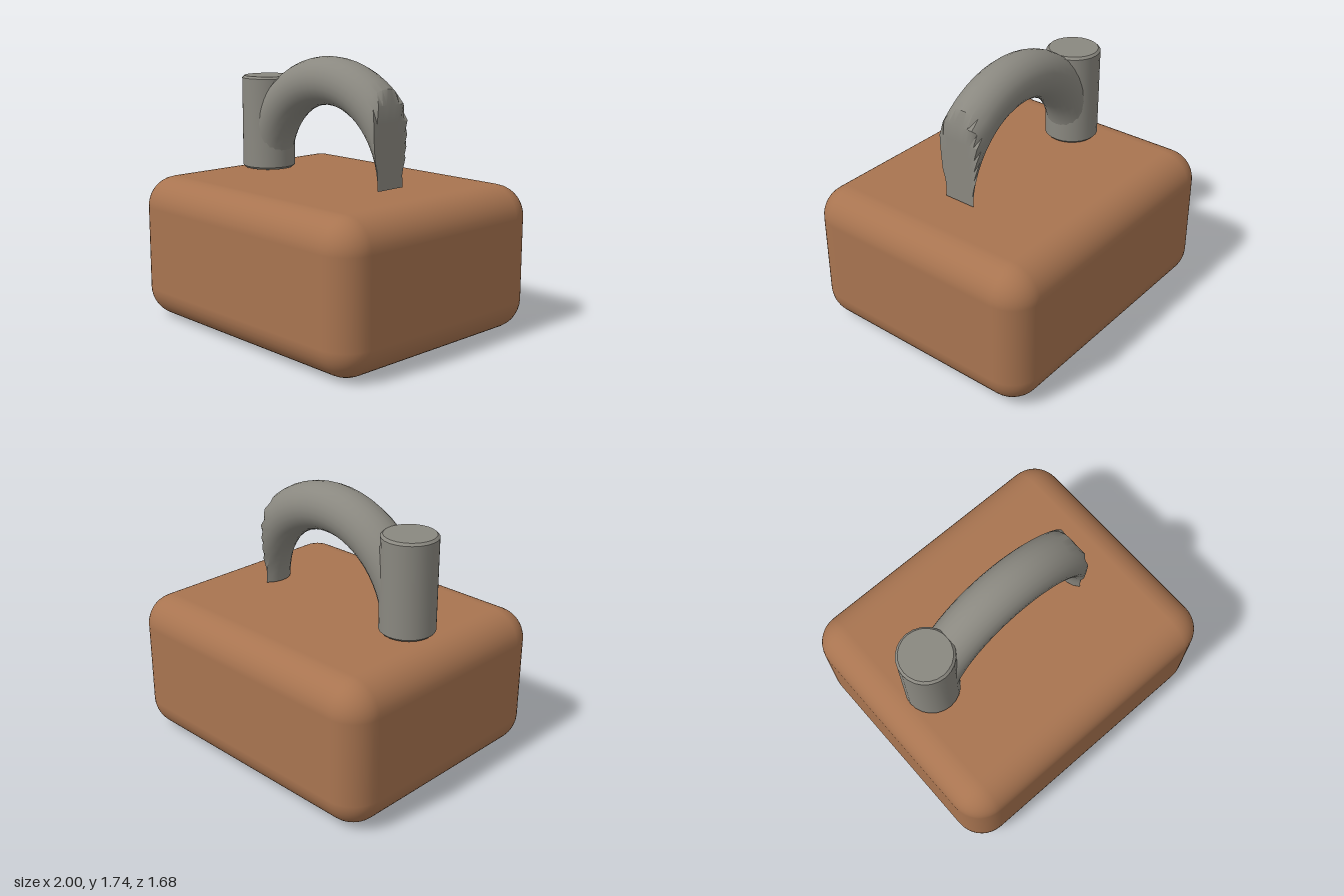
import * as THREE from 'three';
import { RoundedBoxGeometry } from 'three/addons/geometries/RoundedBoxGeometry.js';
import { toCreasedNormals } from 'three/addons/utils/BufferGeometryUtils.js';

const BASE_Y = 0.955; // underside of the metal parts
const ARCH_R = 0.63; // arch centreline radius
const TUBE_R = 0.155; // arch tube radius
const CUT_X = 0.52; // plane that slices the free end flat

// Half ring swept in rings; each ring's outer side is trimmed at the cut plane
function archGeometry() {
  const rings = 28, sides = 24;
  const positions = [], index = [];
  for (let i = -1; i <= rings; i++) {
    const theta = (Math.max(i, 0) / rings) * Math.PI;
    const limit = Math.cos(theta) > 0.01 ? CUT_X / Math.cos(theta) : Infinity;
    const trim = limit < ARCH_R + TUBE_R ? Math.acos((limit - ARCH_R) / TUBE_R) : 0;
    for (let j = 0; j <= sides; j++) {
      const s = (j / sides) * 2 - 1;
      const phi = s * Math.PI;
      let rho = ARCH_R + TUBE_R * Math.cos(phi);
      let z = TUBE_R * Math.sin(phi);
      if (Math.abs(phi) < trim) {
        rho = limit;
        z = TUBE_R * Math.sin(trim) * (phi / trim);
      }
      // the first ring closes the tip to a point
      if (i < 0) { rho = 0.5; z = 0; }
      positions.push(rho * Math.cos(theta), BASE_Y + rho * Math.sin(theta), z);
    }
  }
  const row = sides + 1;
  for (let i = 0; i <= rings; i++) {
    for (let j = 0; j < sides; j++) {
      const a = i * row + j, b = a + row;
      if (i > 0) index.push(a, b, a + 1);
      index.push(b, b + 1, a + 1);
    }
  }
  const geometry = new THREE.BufferGeometry();
  geometry.setAttribute('position', new THREE.Float32BufferAttribute(positions, 3));
  geometry.setIndex(index);
  return toCreasedNormals(geometry, 0.6);
}

// Upright pin with softened rims
function postGeometry() {
  const r = 0.177, top = 1.58, c = 0.015;
  const profile = [
    [0, BASE_Y], [r - c, BASE_Y], [r, BASE_Y + c],
    [r, top - c], [r - c, top], [0, top],
  ].map(([x, y]) => new THREE.Vector2(x, y));
  return toCreasedNormals(new THREE.LatheGeometry(profile, 24), 0.6);
}

export function createModel() {
  const group = new THREE.Group();
  const brown = new THREE.MeshStandardMaterial({ name: 'brown', color: 0xa87450 });
  const grey = new THREE.MeshStandardMaterial({ name: 'grey', color: 0x8a8880 });

  const add = (name, geometry, material) => {
    const mesh = new THREE.Mesh(geometry, material);
    mesh.name = name;
    group.add(mesh);
    return mesh;
  };

  // Rounded block
  add('body', new RoundedBoxGeometry(2, 0.945, 1.68, 5, 0.2), brown).position.y = 0.4725;

  // Shackle: post on one side, arch reaching to the free end
  add('post', postGeometry(), grey).position.x = -0.633;
  add('arch', archGeometry(), grey);

  return group;
}
